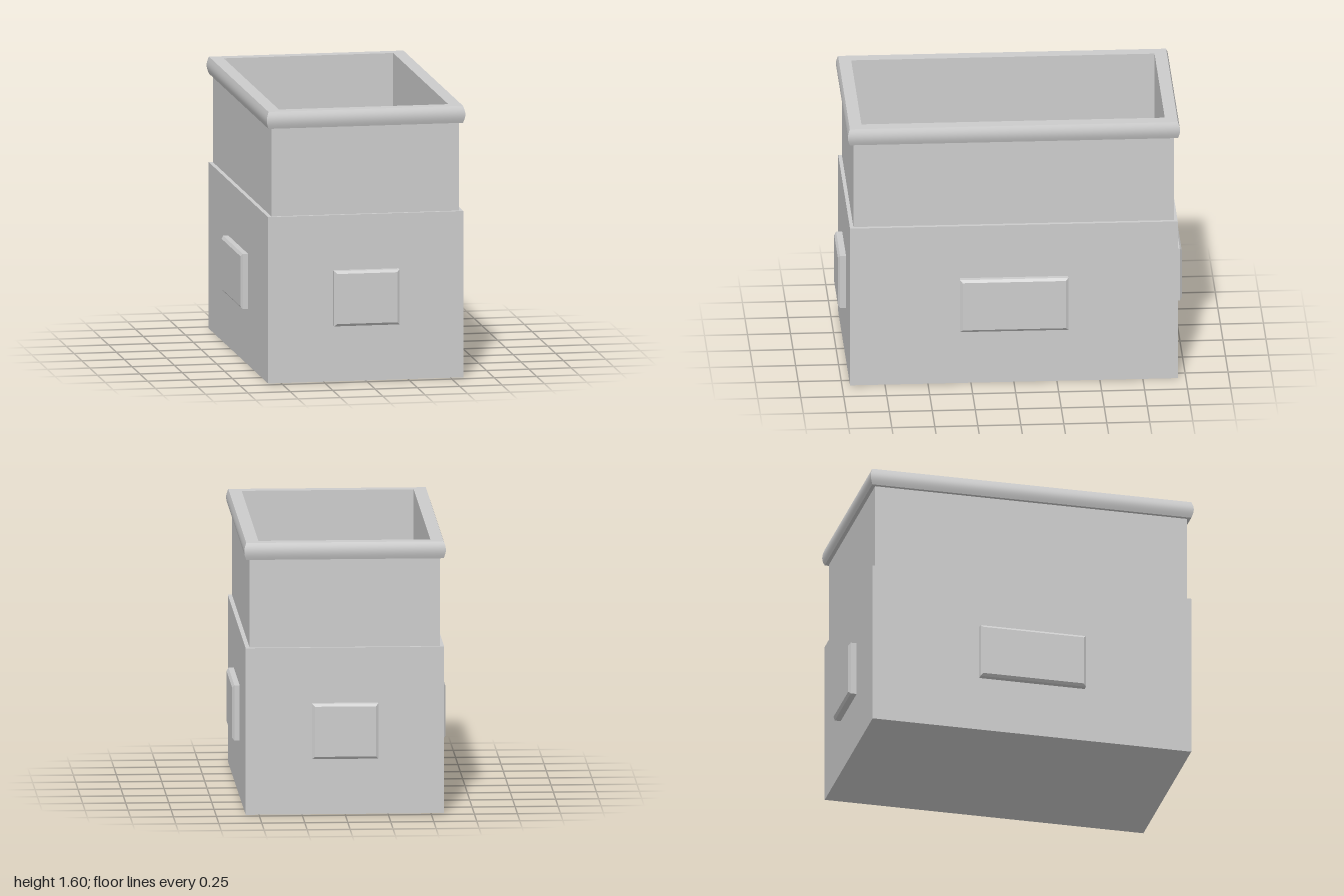
import * as THREE from 'three';
import { mergeGeometries } from 'three/addons/utils/BufferGeometryUtils.js';

const material = new THREE.MeshStandardMaterial({ color: 0xcccccc });

// Rectangular band through rows of [halfX, halfZ, y]; mitred corners stay sharp,
// and each side is smooth along the rows. Rows run up outside, inward on top, down inside.
function band(rows) {
  const corners = [[-1, 1], [1, 1], [1, -1], [-1, -1]];
  const sides = corners.map((a, i) => {
    const b = corners[(i + 1) % 4];
    const positions = [], index = [];
    rows.forEach(([hx, hz, y], r) => {
      positions.push(a[0] * hx, y, a[1] * hz, b[0] * hx, y, b[1] * hz);
      if (r > 0) {
        const p = 2 * (r - 1);
        index.push(p, p + 1, p + 3, p, p + 3, p + 2);
      }
    });
    const g = new THREE.BufferGeometry();
    g.setAttribute('position', new THREE.Float32BufferAttribute(positions, 3));
    g.setIndex(index);
    g.computeVertexNormals();
    return g;
  });
  return mergeGeometries(sides);
}

// Bevelled panel facing +z, its back at z = 0
function panel(width, height, depth) {
  const inset = 0.015, bevel = 0.012;
  const w = width / 2 - inset, h = height / 2 - inset;
  const shape = new THREE.Shape();
  shape.moveTo(-w, -h).lineTo(w, -h).lineTo(w, h).lineTo(-w, h).closePath();
  return new THREE.ExtrudeGeometry(shape, {
    depth: depth - bevel, bevelEnabled: true, bevelThickness: bevel, bevelSize: inset, bevelSegments: 1,
  });
}

export function createModel() {
  const model = new THREE.Group();
  const add = (name, geometry) => {
    const mesh = new THREE.Mesh(geometry, material);
    mesh.name = name;
    model.add(mesh);
    return mesh;
  };

  const LEDGE = 0.98, RIM = 1.5, TOP = 1.6;
  const OUTER = [0.553, 0.932], INNER = [0.5, 0.882], LIP = [0.574, 0.954];

  // Wide lower box
  add('base', new THREE.BoxGeometry(1.154, LEDGE, 1.906)).position.y = LEDGE / 2;

  // Hollow upper box
  add('upperWall', band([[...OUTER, LEDGE], [...OUTER, RIM]]));
  add('innerWall', band([[...INNER, RIM], [...INNER, 0.995]]));

  // Floor with a shallow fillet around its edge
  const fillet = [];
  for (let i = 0; i <= 4; i++) {
    const t = (i / 4) * Math.PI / 2;
    const d = 0.04 * (1 - Math.cos(t));
    fillet.push([INNER[0] - d, INNER[1] - d, 0.997 - 0.012 * Math.sin(t)]);
  }
  add('floorFillet', band(fillet));
  const floor = add('floor', new THREE.PlaneGeometry(2 * (INNER[0] - 0.04), 2 * (INNER[1] - 0.04)));
  floor.rotation.x = -Math.PI / 2;
  floor.position.y = 0.985;

  // Rim: flat below, bulging outside, flat on top and inside
  const bulge = [];
  for (let i = 0; i <= 10; i++) {
    const d = 0.012 * Math.sin((i / 10) * Math.PI);
    bulge.push([LIP[0] + d, LIP[1] + d, RIM + (TOP - RIM) * i / 10]);
  }
  add('rim', mergeGeometries([
    band([[...INNER, RIM], [...LIP, RIM]]),
    band(bulge),
    band([[...LIP, TOP], [...INNER, TOP]]),
    band([[...INNER, TOP], [...INNER, RIM]]),
  ]));

  // Bevelled panels on all four sides
  const panels = [
    ['frontPanel', 0.385, 0, 0.95],
    ['leftPanel', 0.63, Math.PI / 2, 0.57],
    ['backPanel', 0.385, Math.PI, 0.95],
    ['rightPanel', 0.63, -Math.PI / 2, 0.57],
  ];
  for (const [name, width, angle, offset] of panels) {
    const mesh = add(name, panel(width, 0.325, 0.05));
    mesh.rotation.y = angle;
    mesh.position.set(Math.sin(angle) * offset, 0.4925, Math.cos(angle) * offset);
  }
  return model;
}
